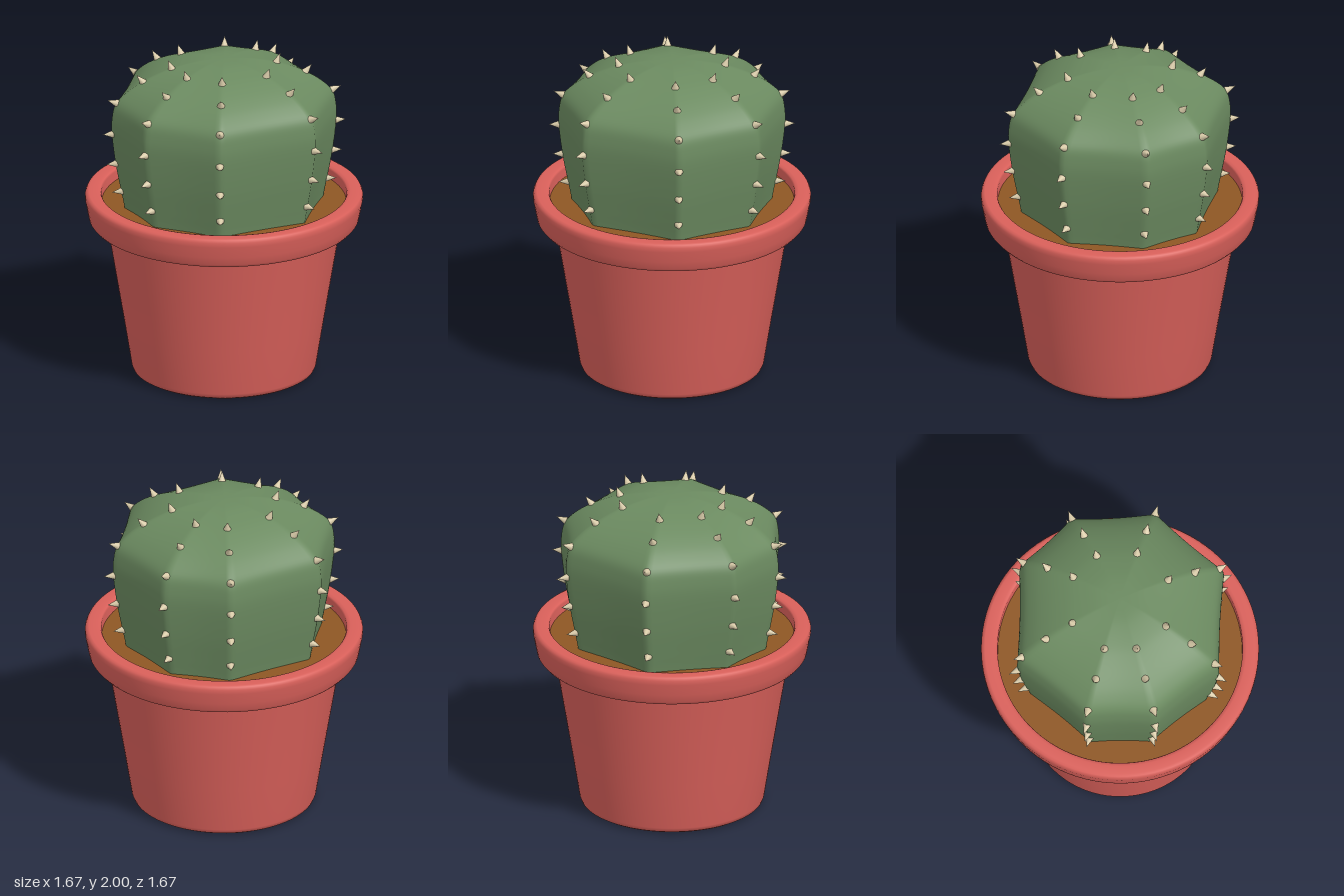
import * as THREE from 'three';
import { mergeVertices } from 'three/addons/utils/BufferGeometryUtils.js';

const DEG = Math.PI / 180;
// Uneven rib directions around the plant, measured from +x towards +z
const RIBS = [12, 67, 109, 144, 191, 245.5, 281, 325.5];

const material = (color) => new THREE.MeshStandardMaterial({ color, roughness: 0.8 });
const vectors = (pts) => pts.map(([x, y]) => new THREE.Vector2(x, y));

function addMesh(parent, name, geometry, mat) {
  const mesh = new THREE.Mesh(geometry, mat);
  mesh.name = name;
  parent.add(mesh);
  return mesh;
}

// Radius factor: 1 on a rib, falling to a slightly pinched chord between ribs
function ribFactor(angle) {
  const a = ((angle / DEG - RIBS[0]) % 360 + 360) % 360 + RIBS[0];
  let i = RIBS.length - 1;
  while (RIBS[i] > a) i--;
  const next = i + 1 < RIBS.length ? RIBS[i + 1] : RIBS[0] + 360;
  const half = (next - RIBS[i]) / 2;
  const off = a - RIBS[i] - half;
  const pinch = 1 - 0.015 * Math.cos((off / half) * Math.PI / 2);
  return (Math.cos(half * DEG) / Math.cos(off * DEG)) * pinch;
}

export function createModel() {
  const model = new THREE.Group();
  model.name = 'pottedCactus';

  // Pot: tapered wall, heavy rounded rim, hollow top
  const potProfile = vectors([
    [0, 0], [0.48, 0], [0.525, 0.003], [0.545, 0.015], [0.555, 0.04],
    [0.60, 0.32], [0.65, 0.62], [0.698, 0.91], [0.704, 0.935], [0.72, 0.945],
    [0.77, 0.947], [0.795, 0.953], [0.81, 0.972], [0.82, 1.02], [0.833, 1.09],
    [0.833, 1.118], [0.825, 1.134], [0.81, 1.14], [0.76, 1.14], [0.742, 1.136],
    [0.735, 1.125], [0.73, 1.0],
  ]);
  addMesh(model, 'pot', new THREE.LatheGeometry(potProfile, 96), material(0xd9605a));

  // Soil disc
  const soil = addMesh(model, 'soil', new THREE.CircleGeometry(0.735, 96), material(0x8e5724));
  soil.rotation.x = -Math.PI / 2;
  soil.position.y = 1.07;

  // Cactus body: lathe of the rib profile, drawn in between the ribs
  const ribCurve = new THREE.SplineCurve(vectors([
    [0.595, 1.0], [0.612, 1.1], [0.63, 1.19], [0.662, 1.36], [0.685, 1.55],
    [0.683, 1.66], [0.66, 1.745], [0.59, 1.815], [0.5, 1.872], [0.4, 1.918],
    [0.3, 1.951], [0.15, 1.98], [0, 1.987],
  ]));
  const points = ribCurve.getPoints(60);
  points[60].x = 0;
  let body = new THREE.LatheGeometry(points, 180);
  const pos = body.attributes.position;
  for (let i = 0; i < pos.count; i++) {
    const x = pos.getX(i), z = pos.getZ(i);
    const k = ribFactor(Math.atan2(z, x));
    pos.setX(i, x * k);
    pos.setZ(i, z * k);
  }
  body.deleteAttribute('uv');
  body.deleteAttribute('normal');
  body = mergeVertices(body, 1e-4);
  body.computeVertexNormals();
  addMesh(model, 'cactusBody', body, material(0x6b8a60));

  // Spines: six per rib, as [radius, height, tilt above horizontal in degrees]
  const rows = [
    [0.618, 1.18, -4], [0.653, 1.36, -3], [0.676, 1.55, 0],
    [0.652, 1.745, 22], [0.492, 1.868, 50], [0.318, 1.94, 68],
  ];
  const length = 0.065;
  const cone = new THREE.ConeGeometry(0.024, length, 12);
  cone.translate(0, length / 2, 0);
  const spineMaterial = material(0xd8caa8);
  const spines = new THREE.Group();
  spines.name = 'spines';
  model.add(spines);
  const up = new THREE.Vector3(0, 1, 0);
  for (const rib of RIBS) {
    const c = Math.cos(rib * DEG), s = Math.sin(rib * DEG);
    for (const [r, y, tilt] of rows) {
      const spine = addMesh(spines, 'spine', cone, spineMaterial);
      const out = Math.cos(tilt * DEG);
      spine.position.set(r * c, y, r * s);
      spine.quaternion.setFromUnitVectors(up, new THREE.Vector3(out * c, Math.sin(tilt * DEG), out * s));
    }
  }
  return model;
}
